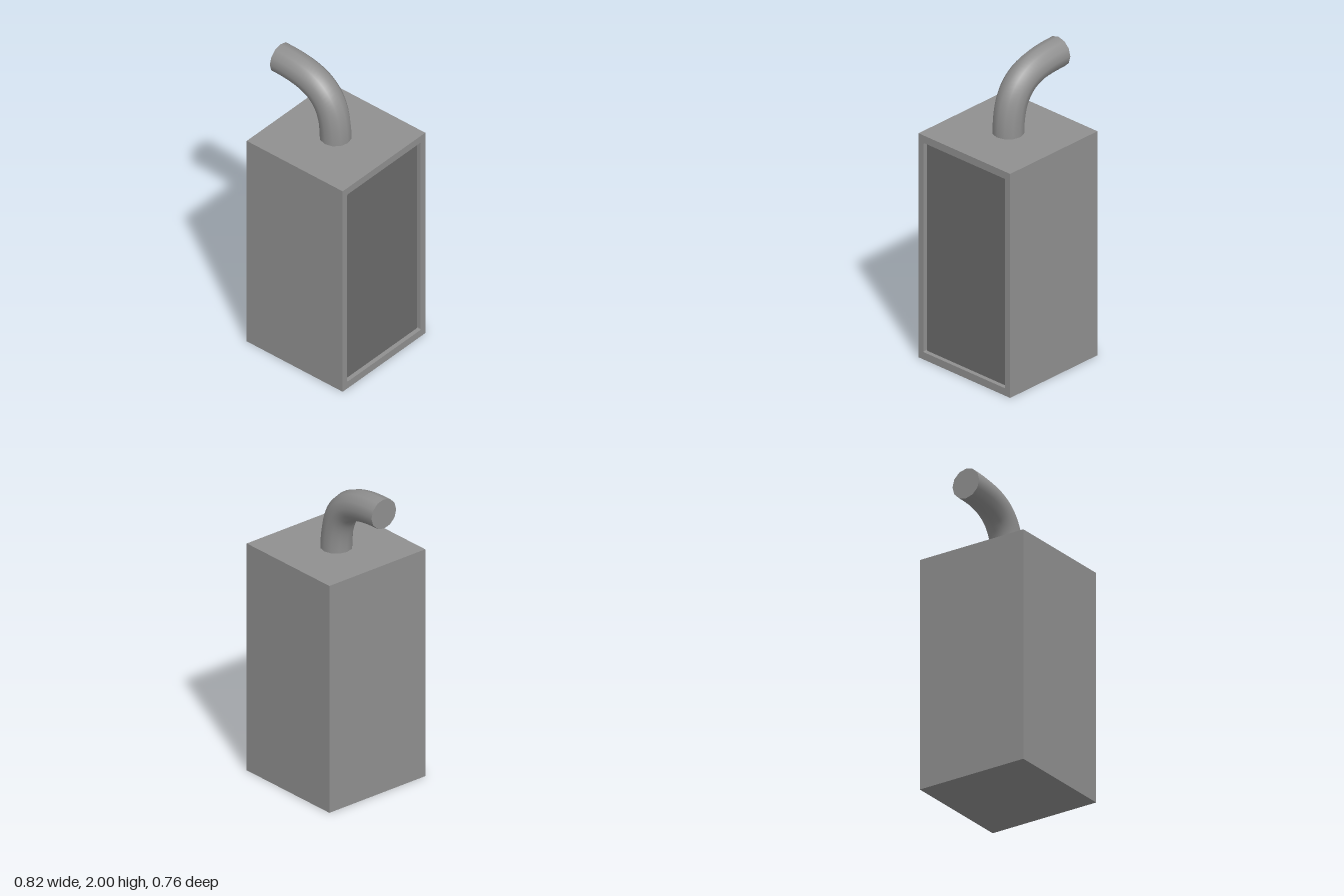
import * as THREE from 'three';

const W = 0.76, H = 1.52, RECESS = 0.03;
const LEFT = 0.41, RIGHT = -0.35; // side faces of the cabinet

// Rectangular path centred on the origin, with small rounded corners
function roundedRect(w, h, r) {
  const x = w / 2, y = h / 2;
  const path = new THREE.Path();
  path.moveTo(-x + r, -y);
  path.lineTo(x - r, -y);
  path.quadraticCurveTo(x, -y, x, -y + r);
  path.lineTo(x, y - r);
  path.quadraticCurveTo(x, y, x - r, y);
  path.lineTo(-x + r, y);
  path.quadraticCurveTo(-x, y, -x, y - r);
  path.lineTo(-x, -y + r);
  path.quadraticCurveTo(-x, -y, -x + r, -y);
  return path;
}

export function createModel() {
  const model = new THREE.Group();
  const bodyGrey = new THREE.MeshStandardMaterial({ color: 0x909090 });
  const panelGrey = new THREE.MeshStandardMaterial({ color: 0x6b6b6b });

  const add = (name, geometry, material, parent = model) => {
    const mesh = new THREE.Mesh(geometry, material);
    mesh.name = name;
    parent.add(mesh);
    return mesh;
  };

  // Cabinet behind the recess
  const depth = LEFT - RIGHT - RECESS;
  add('cabinet', new THREE.BoxGeometry(depth, H, W), bodyGrey)
    .position.set(RIGHT + depth / 2, H / 2, 0);

  // Raised rim around the recessed panel
  const rim = new THREE.Shape([
    new THREE.Vector2(-W / 2, -H / 2), new THREE.Vector2(W / 2, -H / 2),
    new THREE.Vector2(W / 2, H / 2), new THREE.Vector2(-W / 2, H / 2),
  ]);
  rim.holes.push(roundedRect(0.676, 1.42, 0.008));
  const rimGeometry = new THREE.ExtrudeGeometry(rim, { depth: RECESS, bevelEnabled: false, curveSegments: 3 });
  rimGeometry.rotateY(Math.PI / 2);
  add('panelRim', rimGeometry, bodyGrey).position.set(LEFT - RECESS, H / 2, 0);

  // Dark panel on the floor of the recess
  const panel = add('recessedPanel', new THREE.PlaneGeometry(0.68, 1.424), panelGrey);
  panel.rotation.y = Math.PI / 2;
  panel.position.set(LEFT - RECESS + 0.002, H / 2, 0);

  // Bent flue pipe with a closed outlet
  const flue = new THREE.Group();
  flue.name = 'flue';
  model.add(flue);
  const radius = 0.098, baseX = 0.027, baseY = 1.5, outletX = -0.41, pipeY = 1.902;
  const bend = 0.75; // how far the handles reach towards the corner
  const path = new THREE.CubicBezierCurve3(
    new THREE.Vector3(baseX, baseY, 0),
    new THREE.Vector3(baseX, THREE.MathUtils.lerp(baseY, pipeY, bend), 0),
    new THREE.Vector3(THREE.MathUtils.lerp(outletX, baseX, bend), pipeY, 0),
    new THREE.Vector3(outletX, pipeY, 0),
  );
  add('fluePipe', new THREE.TubeGeometry(path, 32, radius, 12), bodyGrey, flue);
  const cap = add('flueOutlet', new THREE.CircleGeometry(radius, 12), bodyGrey, flue);
  cap.rotation.y = -Math.PI / 2;
  cap.position.set(outletX, pipeY, 0);

  return model;
}
